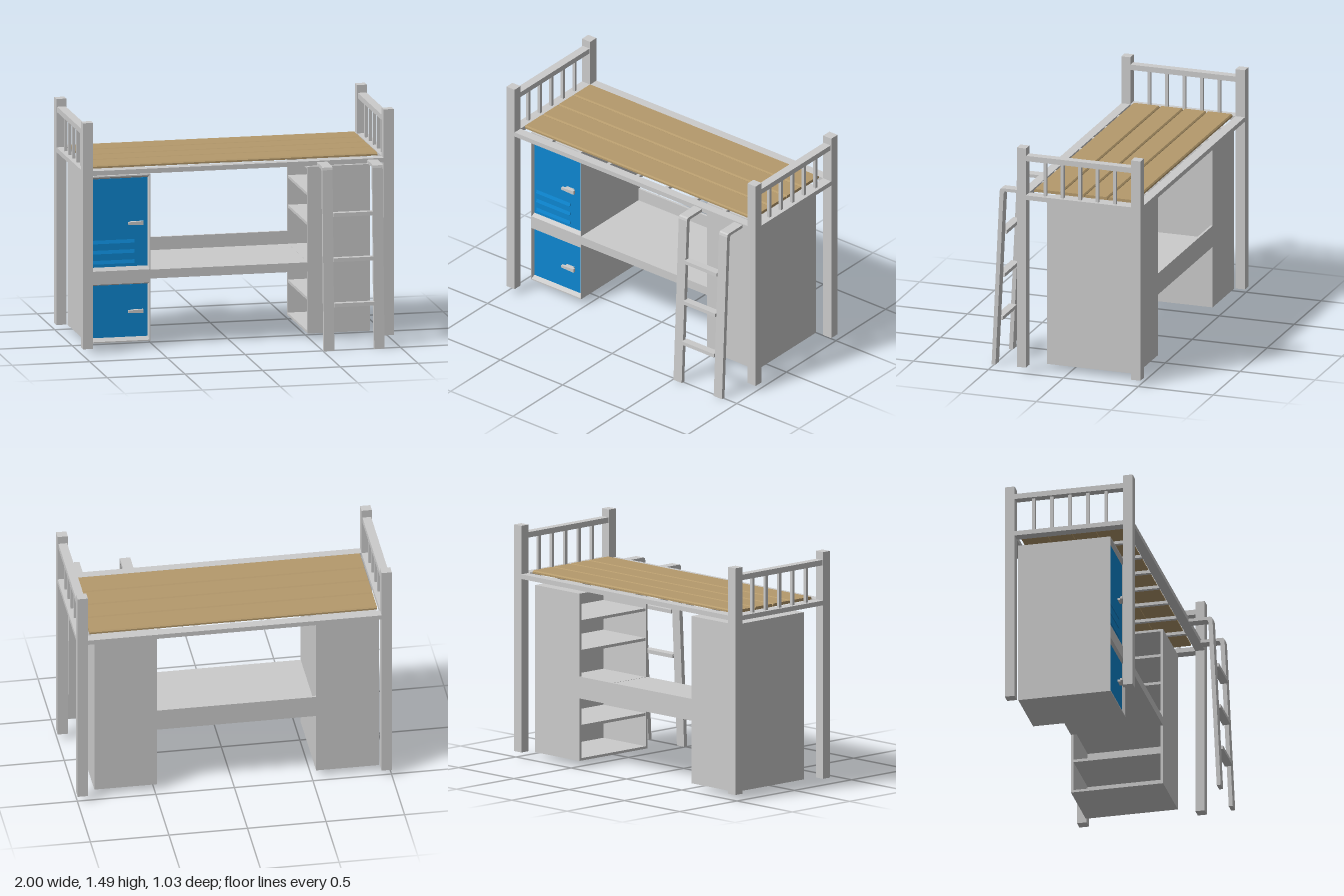
import * as THREE from 'three';

const grey = new THREE.MeshStandardMaterial({ color: 0xcccccc, flatShading: true });
const blue = new THREE.MeshStandardMaterial({ color: 0x0d86d0, flatShading: true });
const wood = new THREE.MeshStandardMaterial({ color: 0xb59a6c, flatShading: true });

function add(parent, name, geometry, material = grey) {
  const mesh = new THREE.Mesh(geometry, material);
  mesh.name = name;
  parent.add(mesh);
  return mesh;
}

// Box given by its limits on each axis
function box(parent, name, [x0, x1], [y0, y1], [z0, z1], material = grey) {
  const mesh = add(parent, name, new THREE.BoxGeometry(x1 - x0, y1 - y0, z1 - z0), material);
  mesh.position.set((x0 + x1) / 2, (y0 + y1) / 2, (z0 + z1) / 2);
  return mesh;
}

function group(parent, name) {
  const g = new THREE.Group();
  g.name = name;
  parent.add(g);
  return g;
}

// Extrude a (z, y) profile along x
function extrudeAlongX(points, x0, x1) {
  const shape = new THREE.Shape(points.map(([z, y]) => new THREE.Vector2(-z, y)));
  const geometry = new THREE.ExtrudeGeometry(shape, { depth: x1 - x0, bevelEnabled: false });
  return geometry.rotateY(Math.PI / 2).translate(x0, 0, 0);
}

const corners = ([x0, x1, y0, y1]) => [[x0, y0], [x1, y0], [x1, y1], [x0, y1]];

// Sloping sides from an outer rectangle at zFront to an inner one at zBack
function slopedRecess(outer, inner, zFront, zBack) {
  const a = corners(outer).map((p) => [...p, zFront]);
  const b = corners(inner).map((p) => [...p, zBack]);
  const pos = [];
  for (let i = 0; i < 4; i++) {
    const j = (i + 1) % 4;
    pos.push(...a[i], ...a[j], ...b[j], ...a[i], ...b[j], ...b[i]);
  }
  const geometry = new THREE.BufferGeometry();
  geometry.setAttribute('position', new THREE.Float32BufferAttribute(pos, 3));
  geometry.computeVertexNormals();
  return geometry;
}

function buildBed(root) {
  const bed = group(root, 'bedFrame');
  const front = [0.25, 0.31], back = [-0.515, -0.452], between = [-0.452, 0.25];
  for (const z of [front, back]) {
    box(bed, 'longRail', [-0.935, 0.935], [1.15, 1.18], z);
    for (const x of [[-1, -0.935], [0.935, 1]]) box(bed, 'post', x, [0.04, 1.49], z);
  }
  // End rails with upright bars
  for (const s of [-1, 1]) {
    const end = group(bed, 'endGuard');
    const span = (a, b) => [Math.min(s * a, s * b), Math.max(s * a, s * b)];
    box(end, 'endRail', span(0.935, 1), [1.15, 1.18], between);
    box(end, 'guardRail', span(0.94, 0.995), [1.405, 1.44], between);
    for (let i = 0; i < 5; i++) {
      const z = 0.132 - i * 0.1165;
      box(end, 'guardBar', span(0.957, 0.977), [1.18, 1.405], [z - 0.01, z + 0.01]);
    }
  }
  // Thin bars under the planks
  for (let i = -3; i <= 3; i++) {
    const x = i * 0.233;
    box(bed, 'crossBar', [x - 0.012, x + 0.012], [1.158, 1.178], between);
  }
  // Planks with chamfered upper edges
  const edges = [-0.44, -0.265, -0.11, 0.045, 0.23];
  for (let i = 0; i < 4; i++) {
    const z0 = edges[i] + 0.002, z1 = edges[i + 1] - 0.002, c = 0.008;
    const profile = [[z0, 1.179], [z0, 1.19], [z0 + c, 1.198], [z1 - c, 1.198], [z1, 1.19], [z1, 1.179]];
    add(bed, 'plank', extrudeAlongX(profile.reverse(), -0.918, 0.912), wood);
  }
}

function buildLocker(root) {
  const locker = group(root, 'locker');
  box(locker, 'lockerBody', [-0.93, -0.53], [0.04, 1.11], [-0.445, 0.128]);
  const doors = [
    { outer: [-0.926, -0.535, 0.048, 0.415], inner: [-0.919, -0.545, 0.07, 0.405], handleY: 0.237 },
    { outer: [-0.926, -0.535, 0.5, 1.102], inner: [-0.919, -0.545, 0.522, 1.088], handleY: 0.803 },
  ];
  // Face frame with an opening for each door
  const path = (r) => corners(r).map(([x, y]) => new THREE.Vector2(x, y));
  const face = new THREE.Shape(path([-0.93, -0.53, 0.04, 1.11]));
  for (const d of doors) face.holes.push(new THREE.Path(path(d.outer)));
  const frame = add(locker, 'faceFrame', new THREE.ExtrudeGeometry(face, { depth: 0.022, bevelEnabled: false }));
  frame.position.z = 0.128;
  for (const { outer, inner, handleY } of doors) {
    add(locker, 'doorSurround', slopedRecess(outer, inner, 0.15, 0.129));
    box(locker, 'door', inner.slice(0, 2), inner.slice(2), [0.12, 0.131], blue);
    // Tapered pull on a short stem
    const handle = group(locker, 'handle');
    box(handle, 'handleStem', [-0.655, -0.595], [handleY - 0.007, handleY + 0.007], [0.13, 0.152]);
    const pull = new THREE.Shape([[-0.675, -0.009], [-0.578, -0.013], [-0.578, 0.012], [-0.675, 0.007]]
      .map(([x, y]) => new THREE.Vector2(x, y)));
    add(handle, 'handlePull', new THREE.ExtrudeGeometry(pull, { depth: 0.017, bevelEnabled: false }))
      .position.set(0, handleY, 0.15);
  }
  // Louvres low on the upper door
  for (const y of [0.553, 0.618, 0.683]) {
    const louvre = [[0.13, y - 0.01], [0.138, y - 0.01], [0.131, y + 0.012], [0.13, y + 0.012]];
    add(locker, 'louvre', extrudeAlongX(louvre.reverse(), -0.9, -0.63), blue);
  }
}

function buildDesk(root) {
  const desk = group(root, 'desk');
  box(desk, 'deskTop', [-0.53, 0.485], [0.44, 0.497], [-0.43, 0.15]);
  box(desk, 'deskBackLip', [-0.53, 0.485], [0.44, 0.58], [-0.445, -0.43]);
}

// Bookcase open towards the desk
function buildBookcase(root) {
  const shelf = group(root, 'bookcase');
  const x = [0.482, 0.882], y = [0.04, 1.11], t = 0.016;
  box(shelf, 'frontPanel', x, y, [0.15 - t, 0.15]);
  box(shelf, 'rearPanel', x, y, [-0.445, -0.445 + t]);
  const inside = [-0.445 + t, 0.15 - t];
  box(shelf, 'outerPanel', [x[1] - t, x[1]], y, inside);
  box(shelf, 'topPanel', [x[0], x[1] - t], [1.11 - t, 1.11], inside);
  box(shelf, 'bottomPanel', [x[0], x[1] - t], [0.04, 0.04 + t], inside);
  for (const h of [0.25, 0.48, 0.73, 0.92]) {
    box(shelf, 'shelf', [x[0] + 0.003, x[1] - t], [h, h + 0.018], inside);
  }
}

function buildLadder(root) {
  const ladder = group(root, 'ladder');
  // Leaning rail that bends back to the bed at the top
  const rail = [[0.517, 0], [0.491, 0], [0.437, 1.135], [0.43, 1.152], [0.31, 1.152],
    [0.31, 1.172], [0.45, 1.172], [0.46, 1.166], [0.464, 1.15]];
  for (const x of [0.505, 0.828]) add(ladder, 'ladderRail', extrudeAlongX(rail, x, x + 0.066));
  for (const [y, z] of [[0.29, 0.491], [0.577, 0.477], [0.864, 0.464]]) {
    const rung = box(ladder, 'rung', [0.571, 0.828], [y - 0.012, y + 0.012], [z - 0.025, z + 0.025]);
    rung.rotation.x = -0.045;
  }
}

export function createModel() {
  const root = new THREE.Group();
  root.name = 'loftBed';
  buildBed(root);
  buildLocker(root);
  buildDesk(root);
  buildBookcase(root);
  buildLadder(root);
  return root;
}
